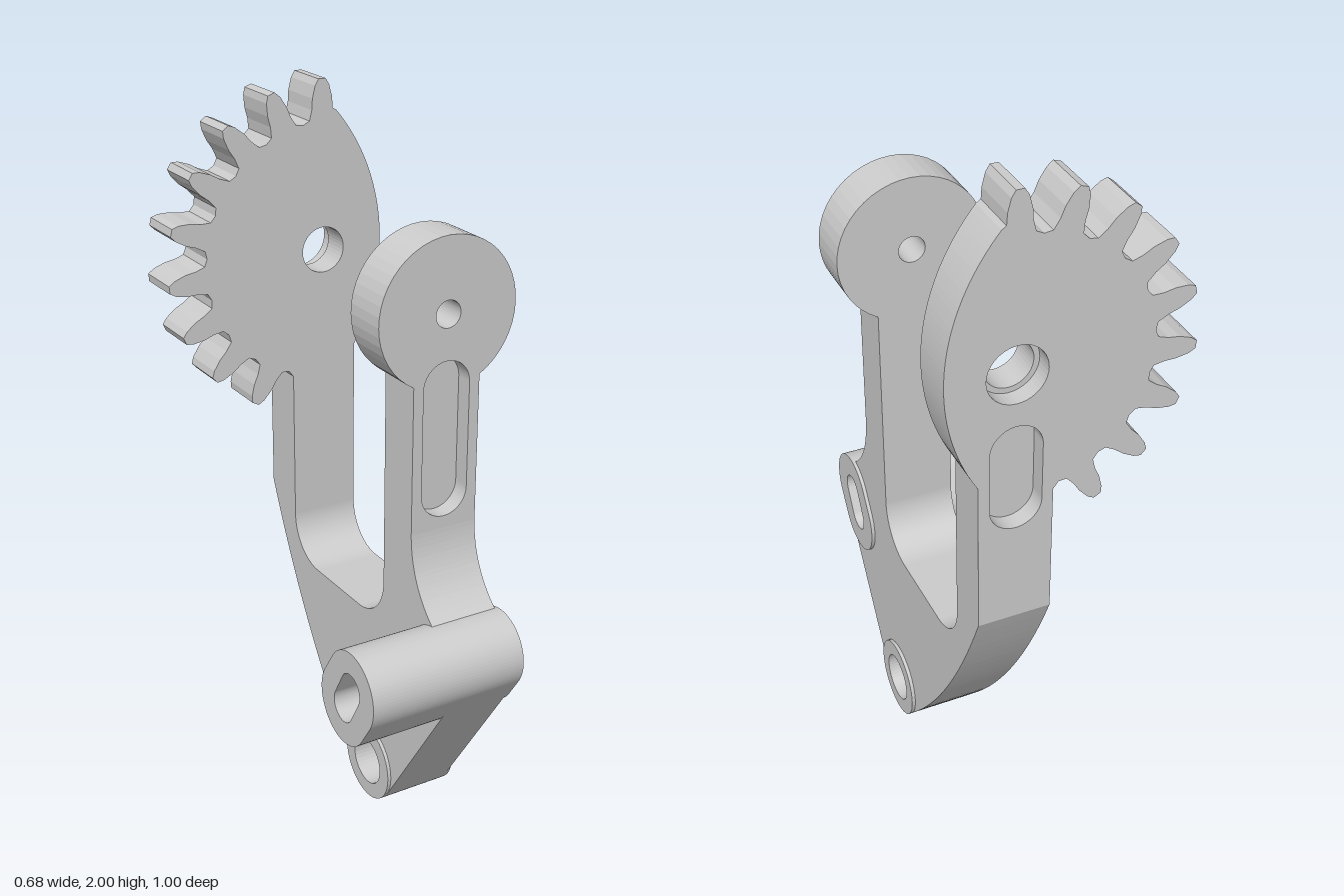
import * as THREE from 'three';

const CX = 0.135, CY = 1.525;      // shared axis of the pivot disc and gear
const X0 = 0.035, X1 = 0.235;      // sides of the arms
const JOIN = 0.93;                 // height where the arms meet the yoke
const SEG = 20;

const material = new THREE.MeshStandardMaterial({ color: 0xcccccc });

function circle(x, y, r) {
  return new THREE.Shape().absarc(x, y, r, 0, Math.PI * 2, false);
}

// Rounded slot between two end centres
function capsule(x0, y0, x1, y1, r) {
  const a = Math.atan2(y1 - y0, x1 - x0);
  const s = new THREE.Shape();
  s.absarc(x1, y1, r, a - Math.PI / 2, a + Math.PI / 2, false);
  s.absarc(x0, y0, r, a + Math.PI / 2, a + Math.PI * 1.5, false);
  s.closePath();
  return s;
}

// Extrude an outline with holes from one depth to another
function slab(name, outline, holes, from, to, sideways = false) {
  const shape = outline.clone();
  shape.holes = holes;
  const geo = new THREE.ExtrudeGeometry(shape, { depth: to - from, bevelEnabled: false, curveSegments: SEG });
  geo.translate(0, 0, from);
  if (sideways) geo.rotateY(Math.PI / 2); // outline x becomes -z, depth runs along x
  const mesh = new THREE.Mesh(geo, material);
  mesh.name = name;
  return mesh;
}

// Lower yoke joining both arms, seen from the side
function yokeOutline() {
  const s = new THREE.Shape();
  s.moveTo(-0.165, 0.053);
  s.absarc(-0.07, 0.115, 0.115, Math.PI + 0.58, Math.PI * 2 - 0.66, false);
  s.quadraticCurveTo(0.31, 0.35, 0.5, 0.79);
  s.lineTo(0.5, JOIN);
  s.lineTo(0.365, JOIN);
  s.lineTo(0.365, 0.73);
  s.absarc(0.235, 0.73, 0.13, 0, -Math.PI / 2, true);
  s.absarc(-0.005, 0.73, 0.13, -Math.PI / 2, -Math.PI, true);
  s.lineTo(-0.135, JOIN);
  s.lineTo(-0.27, JOIN);
  s.quadraticCurveTo(-0.275, 0.79, -0.385, 0.705);
  s.lineTo(-0.465, 0.675);
  s.lineTo(-0.486, 0.54);
  s.lineTo(-0.447, 0.477);
  s.closePath();
  return s;
}

// Front arm with its round head
function frontOutline() {
  const r = 0.205, a = Math.acos((X1 - CX) / r);
  const s = new THREE.Shape();
  s.moveTo(X0, JOIN);
  s.lineTo(X1, JOIN);
  s.absarc(CX, CY, r, -a, Math.PI + a, false);
  s.closePath();
  return s;
}

// Rear arm with its toothed sector and smooth cam edge
function gearOutline() {
  const tooth = [[-6.2, 0.367], [-4.7, 0.395], [-4.1, 0.425], [-2.7, 0.458], [-1.3, 0.475],
    [1.3, 0.475], [2.7, 0.458], [4.1, 0.425], [4.7, 0.395], [6.2, 0.367], [9.5, 0.36]];
  const s = new THREE.Shape();
  s.moveTo(X0, JOIN);
  s.lineTo(X1, JOIN);
  s.absarc(-0.265, 1.53, 0.585, -0.546, 0.709, false);
  for (let k = 0; k < 9; k++) {
    tooth.forEach(([deg, r], i) => {
      if (k === 0 && i === 0) return;
      const a = THREE.MathUtils.degToRad(90 + 19 * k + deg);
      s.lineTo(CX + r * Math.cos(a), CY + r * Math.sin(a));
    });
  }
  s.lineTo(X0, 1.165);
  s.closePath();
  return s;
}

export function createModel() {
  const model = new THREE.Group();
  model.name = 'gearBracket';

  // Yoke and the two raised bosses, bored through sideways
  const pivotHole = () => circle(-0.07, 0.115, 0.07);
  const slotHole = () => capsule(-0.352, 0.535, -0.389, 0.601, 0.046);
  model.add(
    slab('yoke', yokeOutline(), [pivotHole(), slotHole()], X0, X1, true),
    slab('pivotBoss', circle(-0.07, 0.115, 0.115), [pivotHole()], 0.025, 0.245, true),
    slab('slottedBoss', capsule(-0.352, 0.538, -0.392, 0.598, 0.113), [slotHole()], -0.22, 0.245, true),
  );

  // Front arm: solid layer behind, pocketed layer in front
  const front = new THREE.Group();
  front.name = 'frontArm';
  const pin = () => circle(CX, CY, 0.037);
  front.add(
    slab('frontArmBack', frontOutline(), [pin()], 0.135, 0.22),
    slab('frontArmFace', frontOutline(), [pin(), capsule(CX, 1.035, CX, 1.33, 0.07)], 0.22, 0.27),
  );

  // Rear gear arm: pocket and counterbore open to the back
  const rear = new THREE.Group();
  rear.name = 'gearArm';
  rear.add(
    slab('gearArmFace', gearOutline(), [circle(CX, CY, 0.08), capsule(CX, 1.147, CX, 1.31, 0.07)], -0.5, -0.45),
    slab('gearArmFront', gearOutline(), [circle(CX, CY, 0.065)], -0.45, -0.365),
  );

  model.add(front, rear);
  return model;
}
